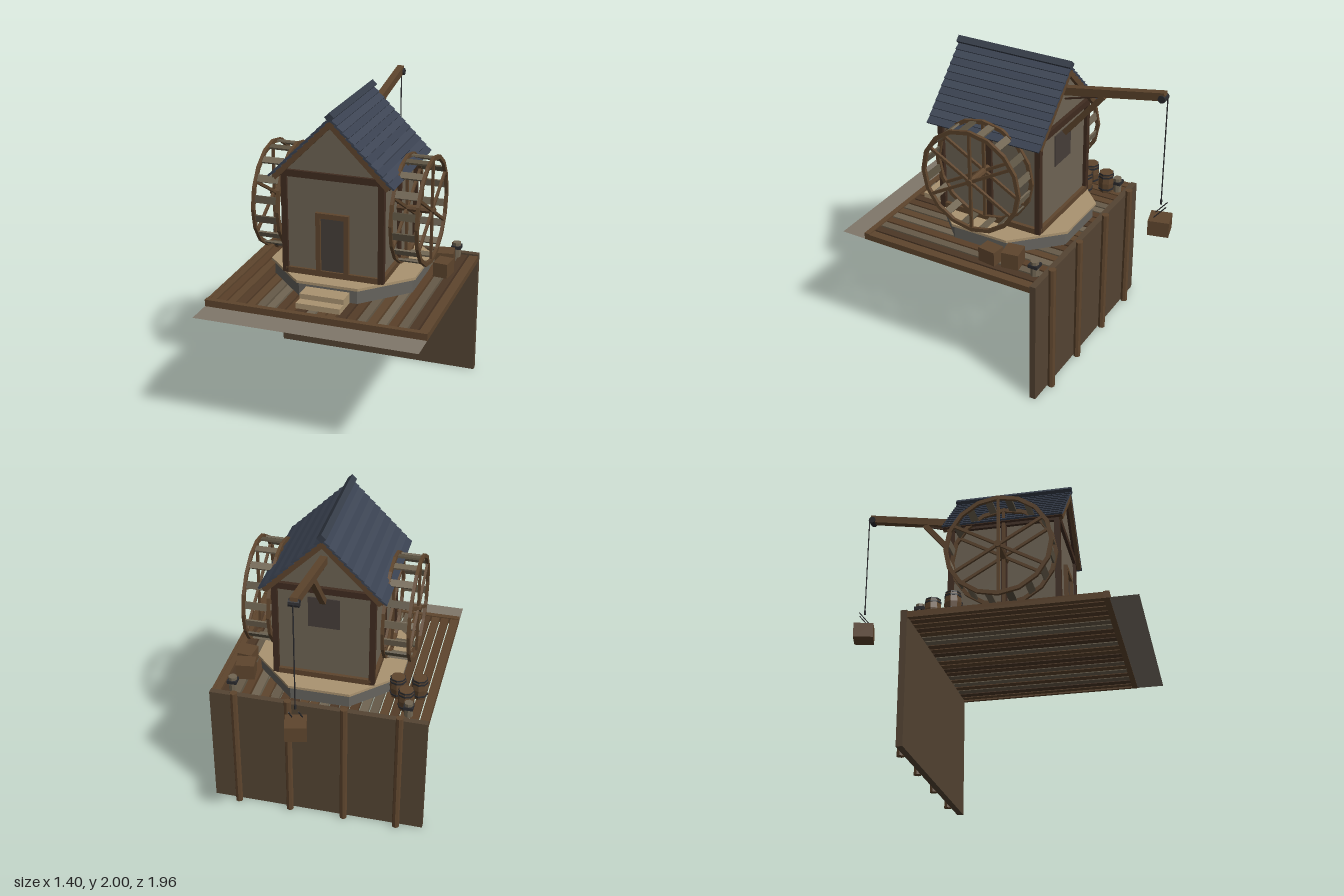
import * as THREE from 'three';

const mats = {};
const mat = (c) => (mats[c] ??= new THREE.MeshStandardMaterial({ color: c, flatShading: true, side: THREE.DoubleSide }));
const WOOD = 0x5e452d, DARK = 0x402c20, PLASTER = 0x6e6454, SLATE = 0x3d4554, TAN = 0xaa9370, STONE = 0x66645e,
  IRON = 0x2b2b2e, WEATHERED = 0x706552, PANEL = 0x463e39;

function add(parent, name, geo, color, x = 0, y = 0, z = 0) {
  const m = new THREE.Mesh(geo, mat(color));
  m.name = name;
  m.position.set(x, y, z);
  parent.add(m);
  return m;
}
// Box from its min/max limits
const span = (p, name, c, x0, x1, y0, y1, z0, z1) =>
  add(p, name, new THREE.BoxGeometry(x1 - x0, y1 - y0, z1 - z0), c, (x0 + x1) / 2, (y0 + y1) / 2, (z0 + z1) / 2);
const cyl = (p, name, c, r, h, sides, x, y, z) =>
  add(p, name, new THREE.CylinderGeometry(r, r, h, sides), c, x, y, z);
// Square bar running between two points
function bar(p, name, c, a, b, w, h = w) {
  const A = new THREE.Vector3(...a), B = new THREE.Vector3(...b);
  const m = add(p, name, new THREE.BoxGeometry(w, h, A.distanceTo(B)), c);
  m.position.copy(A).add(B).multiplyScalar(0.5);
  m.lookAt(B);
  return m;
}
function group(parent, name) {
  const g = new THREE.Group();
  g.name = name;
  parent.add(g);
  return g;
}

function buildDeck(root) {
  const g = group(root, 'deck');
  const tones = [WOOD, 0x543d28, WEATHERED, 0x4c3726, WOOD, 0x665a48, 0x5a4029];
  const n = 22, pitch = 1.4 / n;
  for (let i = 0; i < n; i++) {
    const x = -0.7 + i * pitch;
    span(g, 'plank', tones[(i * 5 + (i * i) % 3) % 7], x + 0.005, x + pitch - 0.007, 0.81, 0.838, -0.39, 0.78);
  }
  span(g, 'frontBeam', WOOD, -0.7, 0.7, 0.8, 0.845, 0.775, 0.81);
  for (const s of [-1, 1]) add(g, 'sideBeam', new THREE.BoxGeometry(0.02, 0.04, 1.17), WOOD, s * 0.69, 0.82, 0.195);
  // Thin apron in front of the deck
  const apron = add(g, 'apron', new THREE.PlaneGeometry(1.4, 0.18), 0x80776a, 0, 0.802, 0.89);
  apron.rotation.x = -Math.PI / 2;
  // Retaining wall with round piles
  span(g, 'retainingWall', 0x544433, -0.7, 0.7, 0, 0.85, -0.43, -0.39);
  for (const x of [-0.53, -0.18, 0.18, 0.53]) cyl(g, 'pile', WOOD, 0.024, 0.89, 8, x, 0.445, -0.452);
  // Mooring posts
  for (const s of [-1, 1]) {
    cyl(g, 'mooringPost', WEATHERED, 0.028, 0.1, 8, s * 0.565, 0.89, -0.35);
    add(g, 'mooringBand', new THREE.BoxGeometry(0.062, 0.022, 0.062), IRON, s * 0.565, 0.908, -0.35);
  }
}

function buildFoundation(root) {
  const g = group(root, 'foundation');
  const oct = (name, c, apothem, y0, y1) => {
    const m = cyl(g, name, c, apothem / Math.cos(Math.PI / 8), y1 - y0, 8, 0, (y0 + y1) / 2, 0.1);
    m.rotation.y = Math.PI / 8;
  };
  oct('stoneBase', STONE, 0.455, 0.84, 0.93);
  oct('topSlab', TAN, 0.473, 0.93, 0.947);
  span(g, 'lowerStep', TAN, -0.14, 0.14, 0.84, 0.875, 0.5, 0.73);
  span(g, 'upperStep', TAN, -0.14, 0.14, 0.875, 0.908, 0.5, 0.665);
}

function buildHouse(root) {
  const g = group(root, 'house');
  // Gabled wall body
  const s = new THREE.Shape();
  [[-0.3, 0.945], [0.3, 0.945], [0.3, 1.6], [0.335, 1.6], [0, 1.935], [-0.335, 1.6], [-0.3, 1.6]]
    .forEach(([x, y], i) => (i ? s.lineTo(x, y) : s.moveTo(x, y)));
  add(g, 'walls', new THREE.ExtrudeGeometry(s, { depth: 0.68, bevelEnabled: false }), PLASTER, 0, 0, -0.225);
  // Timber frame
  for (const x of [-0.307, 0.307]) {
    for (const z of [0.455, -0.23])
      add(g, 'cornerPost', new THREE.BoxGeometry(0.036, 0.65, 0.036), DARK, x, 1.275, z);
    add(g, 'sidePost', new THREE.BoxGeometry(0.026, 0.65, 0.036), DARK, x, 1.275, 0.112);
    add(g, 'sideSill', new THREE.BoxGeometry(0.034, 0.038, 0.68), WOOD, x, 0.965, 0.112);
    add(g, 'sidePlate', new THREE.BoxGeometry(0.034, 0.04, 0.68), DARK, x, 1.59, 0.112);
  }
  for (const z of [0.458, -0.233]) {
    add(g, 'endSill', new THREE.BoxGeometry(0.61, 0.038, 0.03), WOOD, 0, 0.965, z);
    add(g, 'tieBeam', new THREE.BoxGeometry(0.65, 0.042, 0.034), DARK, 0, 1.594, z);
  }
  // Door and rear hatch
  span(g, 'door', PANEL, -0.076, 0.076, 0.985, 1.33, 0.44, 0.462);
  for (const sx of [-1, 1]) add(g, 'doorJamb', new THREE.BoxGeometry(0.029, 0.36, 0.035), WOOD, sx * 0.09, 1.165, 0.462);
  span(g, 'doorLintel', WOOD, -0.105, 0.105, 1.33, 1.362, 0.445, 0.48);
  span(g, 'rearHatch', PANEL, -0.1, 0.1, 1.32, 1.53, -0.232, -0.22);

  // Roof: two slopes of overlapping courses
  const roof = group(g, 'roof');
  for (const sx of [-1, 1]) {
    const slope = group(roof, 'roofSlope');
    slope.position.set(0, 1.955, 0.112);
    slope.rotation.z = -sx * Math.PI / 4;
    add(slope, 'roofBoard', new THREE.BoxGeometry(0.53, 0.014, 0.77), DARK, sx * 0.27, -0.012, 0);
    const rows = 11, step = 0.545 / rows;
    for (let i = 0; i < rows; i++) {
      const c = add(slope, 'slateCourse', new THREE.BoxGeometry(step + 0.012, 0.012, 0.78),
        i % 2 ? SLATE : 0x394150, sx * (i + 0.5) * step, 0.003, 0);
      c.rotation.z = sx * 0.17;
    }
    for (const z of [0.375, -0.375])
      add(slope, 'bargeBoard', new THREE.BoxGeometry(0.53, 0.036, 0.026), WOOD, sx * 0.265, -0.02, z);
  }
  const ridge = add(roof, 'ridge', new THREE.BoxGeometry(0.042, 0.042, 0.79), 0x353c48, 0, 1.97, 0.112);
  ridge.rotation.z = Math.PI / 4;
}

function buildWheel(root, side) {
  const g = group(root, side > 0 ? 'leftWaterWheel' : 'rightWaterWheel');
  g.position.set(side * 0.44, 1.325, 0.12);
  const R = 0.345, r = 0.32, t = 0.01;
  const rim = new THREE.LatheGeometry(
    [[r, -t], [R, -t], [R, t], [r, t], [r, -t]].map(([a, b]) => new THREE.Vector2(a, b)), 16);
  rim.rotateZ(Math.PI / 2);
  for (const x of [-0.08, 0.08]) {
    add(g, 'rim', rim, WOOD, x);
    for (let i = 0; i < 3; i++) {
      const spoke = add(g, 'spokePair', new THREE.BoxGeometry(0.016, 2 * r + 0.01, 0.018), WOOD, x);
      spoke.rotation.x = i * Math.PI / 3;
    }
  }
  // Paddle boards between the rims
  for (let i = 0; i < 16; i++) {
    const a = (i + 0.5) * Math.PI / 8;
    const p = add(g, 'paddle', new THREE.BoxGeometry(0.15, 0.046, 0.012), i % 3 ? WEATHERED : 0x5c5342,
      0, 0.326 * Math.sin(a), 0.326 * Math.cos(a));
    p.rotation.x = -a;
  }
  const axle = cyl(g, 'axle', WOOD, 0.023, 0.24, 8, -side * 0.02, 0, 0);
  axle.rotation.z = Math.PI / 2;
}

function buildCrane(root) {
  const g = group(root, 'crane');
  bar(g, 'jib', WOOD, [0, 1.795, -0.2], [0, 1.92, -0.89], 0.045, 0.05);
  bar(g, 'brace', WOOD, [0, 1.52, -0.245], [0, 1.825, -0.5], 0.036);
  bar(g, 'stay', DARK, [0, 1.745, -0.24], [0, 1.81, -0.46], 0.01);
  const pulley = cyl(g, 'pulley', IRON, 0.024, 0.062, 10, 0, 1.905, -0.875);
  pulley.rotation.z = Math.PI / 2;
  cyl(g, 'rope', IRON, 0.004, 0.7, 6, 0, 1.56, -0.902);
  cyl(g, 'hook', IRON, 0.007, 0.03, 6, 0, 1.215, -0.902);
  // Hanging crate with its sling
  const load = group(g, 'hangingCrate');
  load.position.set(0, 1.06, -0.902);
  load.rotation.y = 0.25;
  add(load, 'crate', new THREE.BoxGeometry(0.13, 0.1, 0.13), WOOD);
  for (const s of [-1, 1]) bar(load, 'sling', IRON, [0, 0.15, 0], [s * 0.06, 0.05, 0], 0.006);
}

function buildCargo(root) {
  const g = group(root, 'cargo');
  for (const [x, z] of [[-0.535, -0.28], [-0.595, -0.14], [-0.46, -0.16]]) {
    const b = group(g, 'barrel');
    b.position.set(x, 0.84, z);
    const profile = [[0, 0], [0.045, 0], [0.054, 0.07], [0.046, 0.142], [0, 0.142]];
    add(b, 'staves', new THREE.LatheGeometry(profile.map(([a, c]) => new THREE.Vector2(a, c)), 8), WOOD);
    for (const y of [0.025, 0.115]) cyl(b, 'hoop', IRON, 0.053, 0.012, 8, 0, y, 0);
    cyl(b, 'topHoop', IRON, 0.049, 0.01, 8, 0, 0.135, 0);
  }
  for (const [x, z, w, h, d, a] of [[0.56, -0.04, 0.095, 0.095, 0.12, -0.12], [0.53, -0.18, 0.12, 0.105, 0.11, 0.15]]) {
    const c = add(g, 'crate', new THREE.BoxGeometry(w, h, d), WOOD, x, 0.84 + h / 2, z);
    c.rotation.y = a;
  }
}

export function createModel() {
  const root = new THREE.Group();
  root.name = 'waterMill';
  buildDeck(root);
  buildFoundation(root);
  buildHouse(root);
  for (const side of [-1, 1]) buildWheel(root, side);
  buildCrane(root);
  buildCargo(root);
  return root;
}
